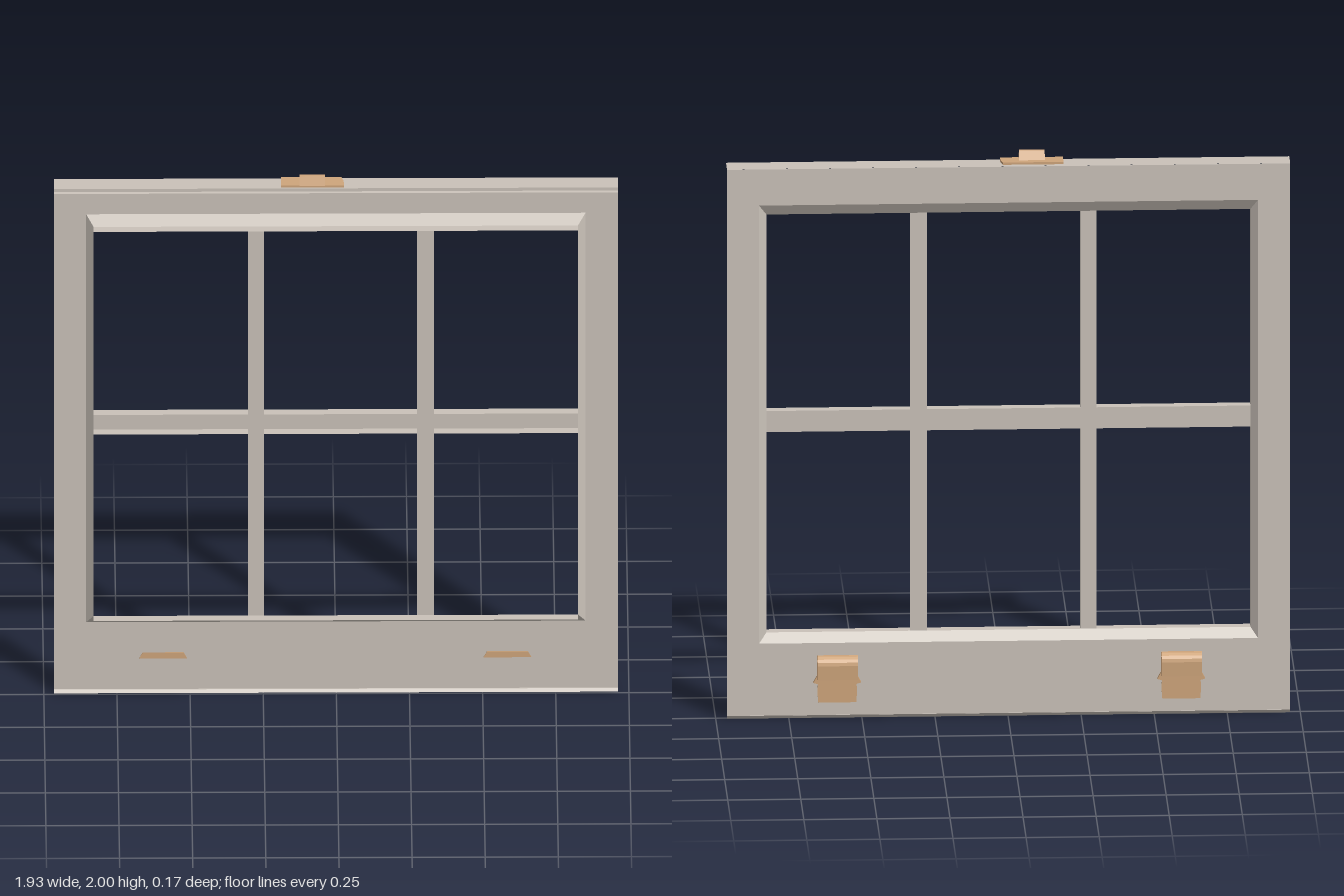
import * as THREE from 'three';

const paint = new THREE.MeshStandardMaterial({ color: 0xcbc3ba, side: THREE.DoubleSide });
paint.name = 'warm grey paint';
const brass = new THREE.MeshStandardMaterial({ color: 0xd0a67c, side: THREE.DoubleSide });
brass.name = 'tan brass';

// Rectangles are [x0, y0, x1, y1]
const corners = ([x0, y0, x1, y1]) => [[x0, y0], [x1, y0], [x1, y1], [x0, y1]];

function add(parent, name, geometry, material) {
  const mesh = new THREE.Mesh(geometry, material);
  mesh.name = name;
  parent.add(mesh);
  return mesh;
}

// Flat sheet with rectangular openings
function sheet(rect, holes, z) {
  const shape = new THREE.Shape(corners(rect).map(p => new THREE.Vector2(...p)));
  for (const h of holes) {
    shape.holes.push(new THREE.Path(corners(h).reverse().map(p => new THREE.Vector2(...p))));
  }
  return new THREE.ShapeGeometry(shape).translate(0, 0, z);
}

// Four-sided band joining rectangle a at depth za to rectangle b at depth zb
function band(a, za, b, zb) {
  const A = corners(a).map(p => [...p, za]);
  const B = corners(b).map(p => [...p, zb]);
  const pos = [];
  for (let i = 0; i < 4; i++) {
    const j = (i + 1) % 4;
    pos.push(...A[i], ...A[j], ...B[j], ...A[i], ...B[j], ...B[i]);
  }
  const g = new THREE.BufferGeometry();
  g.setAttribute('position', new THREE.Float32BufferAttribute(pos, 3));
  g.computeVertexNormals();
  return g;
}

// Strip along x between two (y, z) points
function strip(x0, x1, y0, z0, y1, z1) {
  const g = new THREE.BufferGeometry();
  g.setAttribute('position', new THREE.Float32BufferAttribute([
    x0, y0, z0, x1, y0, z0, x1, y1, z1, x0, y0, z0, x1, y1, z1, x0, y1, z1], 3));
  g.computeVertexNormals();
  return g;
}

function extrudePoints(points, depth) {
  const shape = new THREE.Shape(points.map(p => new THREE.Vector2(...p)));
  return new THREE.ExtrudeGeometry(shape, { depth, bevelEnabled: false });
}

// Extrude a (z, y) profile along x, centred on x = 0
function extrudeAlongX(points, width) {
  return extrudePoints(points.map(([z, y]) => [-z, y]), width)
    .translate(0, 0, -width / 2).rotateY(Math.PI / 2);
}

function makeLift(x) {
  const lift = new THREE.Group();
  lift.name = 'sashLift';
  lift.position.x = x;

  // Waisted back plate, just breaking through the rail's front
  const half = [[0.065, 0.06], [0.068, 0.10], [0.066, 0.125], [0.082, 0.13], [0.07, 0.152], [0.066, 0.2]];
  const outline = [...half, ...half.map(([px, py]) => [-px, py]).reverse()];
  add(lift, 'liftPlate', extrudePoints(outline, 0.008).translate(0, 0, -0.03), brass);
  const tab = [[-0.082, 0.13], [0.082, 0.13], [0.07, 0.152], [-0.07, 0.152]];
  add(lift, 'liftTab', extrudePoints(tab, 0.012).translate(0, 0, -0.0255), brass);

  // Hook curling over to the back
  const arc = (r, n = 8) => Array.from({ length: n + 1 }, (_, i) => {
    const t = Math.PI * i / n;
    return [-0.056 + r * Math.cos(t), 0.205 + r * Math.sin(t)];
  });
  const profile = [[-0.022, 0.15], ...arc(0.03), [-0.085, 0.155], [-0.077, 0.155],
    ...arc(0.021).reverse(), [-0.03, 0.15]];
  add(lift, 'liftHook', extrudeAlongX(profile, 0.138), brass);
  return lift;
}

export function createModel() {
  const model = new THREE.Group();
  model.name = 'windowSash';

  const outer = [-0.965, 0.012, 0.962, 1.957];
  const bevel = [-0.855, 0.268, 0.852, 1.828];
  const inner = [-0.83, 0.302, 0.826, 1.79];
  const zFrame = -0.016, zBars = 0.005, zLip = 0.043;

  // Pressed sheet frame with a shallow edge return
  add(model, 'frame', sheet(outer, [bevel], zFrame), paint);
  add(model, 'frameEdge', band(outer, zFrame - 0.002, outer, zFrame + 0.004), paint);
  add(model, 'openingBevel', band(bevel, zFrame, inner, zBars), paint);
  add(model, 'openingFlange', band(inner, zBars, inner, zLip), paint);

  // Glazing bars: channels open to the front around six panes
  const columns = [[inner[0], -0.303], [-0.248, 0.276], [0.334, inner[2]]];
  const rows = [[inner[1], 1.015], [1.09, inner[3]]];
  const panes = rows.flatMap(([y0, y1]) => columns.map(([x0, x1]) => [x0, y0, x1, y1]));
  const bars = new THREE.Group();
  bars.name = 'glazingBars';
  model.add(bars);
  const [c0, c1, c2] = columns;
  add(bars, 'leftBar', sheet([c0[1], inner[1], c1[0], inner[3]], [], zBars), paint);
  add(bars, 'rightBar', sheet([c1[1], inner[1], c2[0], inner[3]], [], zBars), paint);
  for (const [x0, x1] of columns) {
    add(bars, 'crossBar', sheet([x0, rows[0][1], x1, rows[1][0]], [], zBars), paint);
  }
  for (const p of panes) add(bars, 'barFlange', band(p, zBars, p, zLip), paint);

  // Top ledge, its front drip strip and the bottom lip
  add(model, 'topLedge', strip(outer[0], outer[2], 1.96, 0.055, 1.96, -0.022), paint);
  add(model, 'dripStrip', strip(outer[0], outer[2], 1.954, 0.08, 1.955, 0.068), paint);
  add(model, 'bottomLip', strip(outer[0], outer[2], 0, -0.008, 0.012, zFrame), paint);

  // Latch on the top ledge
  const latch = new THREE.Group();
  latch.name = 'latch';
  model.add(latch);
  const base = [[-0.19, -0.052], [0.025, -0.052], [0.025, -0.02], [0.017, 0.012], [-0.19, 0.012]];
  add(latch, 'latchBase', extrudePoints(base, 0.008).rotateX(-Math.PI / 2)
    .scale(1, 1, -1).translate(0, 1.962, 0), brass);
  latch.children[0].geometry = extrudePoints(base.map(([x, z]) => [x, z]), 0.008)
    .rotateX(-Math.PI / 2).translate(0, 1.962, 0);
  const wedge = [[0.054, 1.968], [0.012, 1.968], [0.03, 2.0], [0.042, 2.0]];
  add(latch, 'latchLever', extrudeAlongX(wedge, 0.088), brass).position.x = -0.083;

  // Pair of lifts on the bottom rail
  for (const x of [-0.592, 0.585]) model.add(makeLift(x));
  return model;
}
